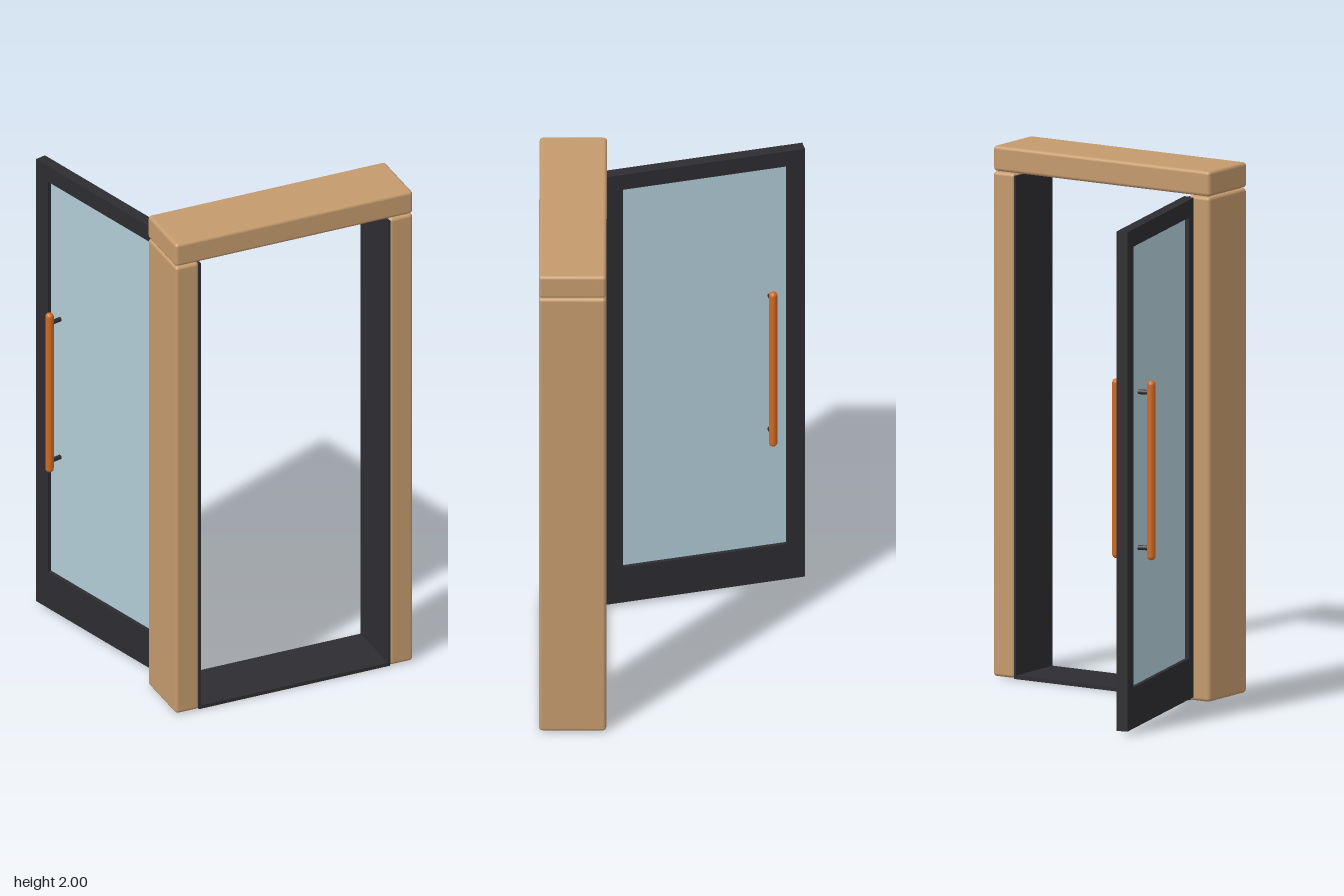
import * as THREE from 'three';
import { RoundedBoxGeometry } from 'three/addons/geometries/RoundedBoxGeometry.js';

const mat = (color) => new THREE.MeshStandardMaterial({ color });

export function createModel() {
  const model = new THREE.Group();
  model.name = 'openDoor';
  const wood = mat(0xc49a6c), dark = mat(0x2d2c31), glass = mat(0xb0cbd5), copper = mat(0xd2691e);

  const add = (parent, name, geometry, material, x, y, z) => {
    const mesh = new THREE.Mesh(geometry, material);
    mesh.name = name;
    mesh.position.set(x, y, z);
    parent.add(mesh);
    return mesh;
  };
  const box = (w, h, d) => new THREE.BoxGeometry(w, h, d);
  const beam = (w, h, d) => new RoundedBoxGeometry(w, h, d, 3, 0.013);

  // Wooden surround
  const frameZ = 0.365, depth = 0.25;
  add(model, 'rightPost', beam(0.095, 1.9, depth), wood, -0.365, 0.953, frameZ);
  add(model, 'leftPost', beam(0.095, 1.9, depth), wood, 0.508, 0.953, frameZ);
  add(model, 'lintel', beam(0.968, 0.095, depth), wood, 0.071, 1.9525, frameZ);

  // Dark lining of the opening
  add(model, 'rightLining', box(0.01, 1.89, depth - 0.008), dark, -0.313, 0.95, frameZ);
  add(model, 'leftLining', box(0.01, 1.89, depth - 0.008), dark, 0.459, 0.95, frameZ);
  add(model, 'sill', box(0.78, 0.014, depth - 0.008), dark, 0.073, 0.008, frameZ);

  // Door leaf, hinged at its local origin and reaching along local -z
  const door = new THREE.Group();
  door.name = 'door';
  door.position.set(-0.3155, 0, 0.2534);
  door.rotation.y = THREE.MathUtils.degToRad(15);
  model.add(door);

  const width = 0.767, bottom = 0.016, top = 1.896, thickness = 0.044;
  const leaf = new THREE.Shape([[0, bottom], [width, bottom], [width, top], [0, top]]
    .map(([x, y]) => new THREE.Vector2(x, y)));
  leaf.holes.push(new THREE.Path([[0.07, 0.17], [0.07, 1.83], [width - 0.07, 1.83], [width - 0.07, 0.17]]
    .map(([x, y]) => new THREE.Vector2(x, y))));
  const leafGeometry = new THREE.ExtrudeGeometry(leaf, { depth: thickness, bevelEnabled: false })
    .translate(0, 0, -thickness / 2).rotateY(Math.PI / 2);
  add(door, 'doorFrame', leafGeometry, dark, 0, 0, 0);
  add(door, 'glassPane', box(0.014, 1.67, width - 0.13), glass, 0, 1, -width / 2);

  // Pull bars with two standoffs on each face
  const handleZ = -0.632, offset = 0.0685;
  for (const side of [-1, 1]) {
    const handle = new THREE.Group();
    handle.name = side < 0 ? 'outerHandle' : 'innerHandle';
    door.add(handle);
    add(handle, 'pullBar', new THREE.CapsuleGeometry(0.016, 0.645, 4, 12), copper, side * offset, 0.979, handleZ);
    for (const y of [0.686, 1.272]) {
      const standoff = new THREE.CylinderGeometry(0.009, 0.009, 0.055, 10).rotateZ(Math.PI / 2);
      add(handle, 'standoff', standoff, dark, side * 0.045, y, handleZ);
    }
  }
  return model;
}
